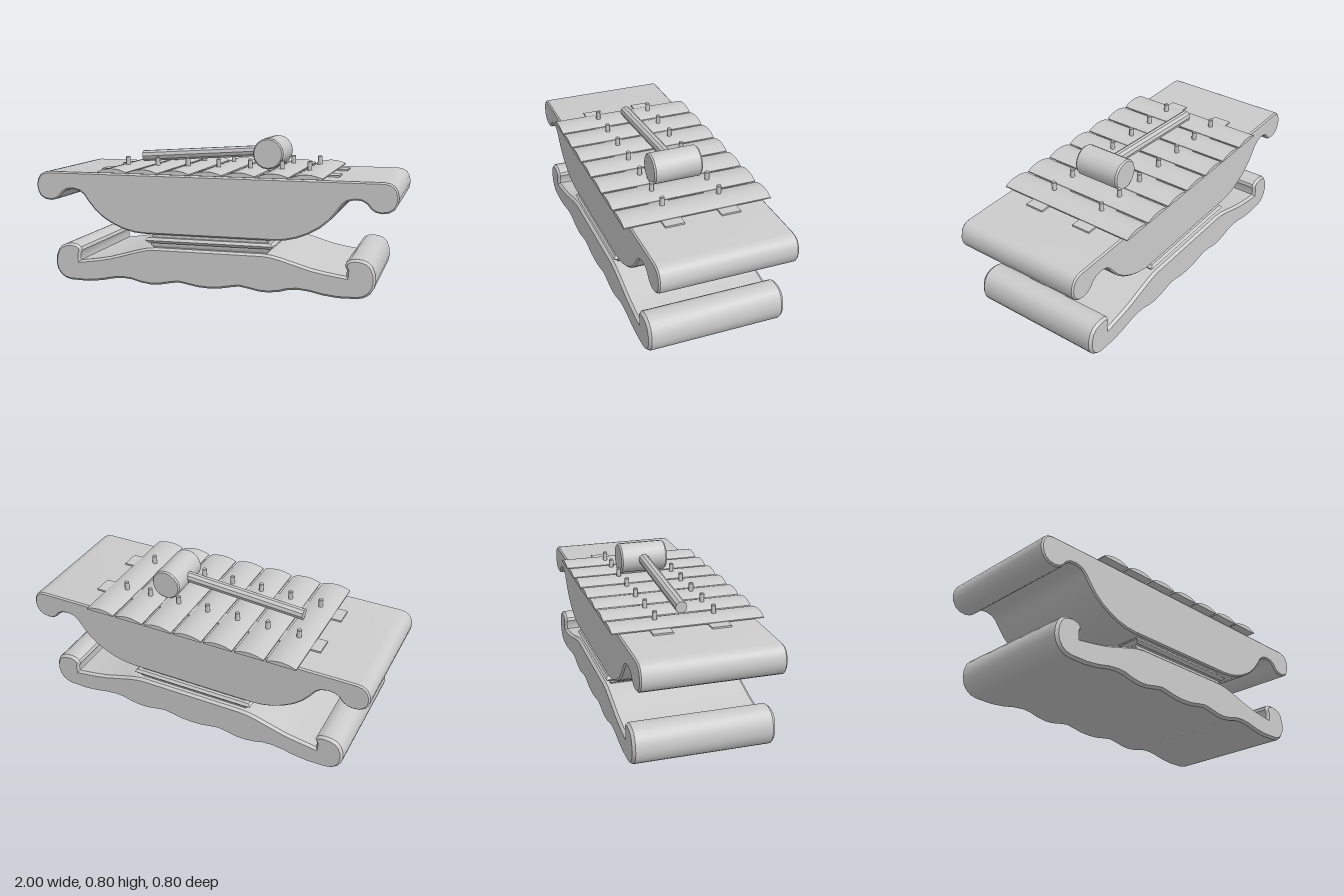
import * as THREE from 'three';
import { toCreasedNormals } from 'three/addons/utils/BufferGeometryUtils.js';

const material = new THREE.MeshStandardMaterial({ color: 0xcccccc });

function addMesh(parent, name, geometry, x = 0, y = 0, z = 0) {
  const mesh = new THREE.Mesh(toCreasedNormals(geometry, 0.6), material);
  mesh.name = name;
  mesh.position.set(x, y, z);
  parent.add(mesh);
  return mesh;
}

// Extrudes an outline along z, centred, with chamfered ends inside the outline
function extrudeCentred(points, halfDepth, bevel, bevelDepth = bevel) {
  const shape = new THREE.Shape(points.map(([x, y]) => new THREE.Vector2(x, y)));
  const depth = 2 * (halfDepth - bevelDepth);
  const geometry = new THREE.ExtrudeGeometry(shape, {
    depth, bevelEnabled: bevel > 0, bevelSize: bevel, bevelOffset: -bevel,
    bevelThickness: bevelDepth, bevelSegments: 1,
  });
  return geometry.translate(0, 0, -depth / 2);
}

// Completes a right-hand profile running from bottom centre to top centre
function mirrored(half) {
  const left = half.slice(1, -1).reverse().map(([x, y]) => [-x, y]);
  return [...half, ...left];
}

// Rectangular plinth from stacked rings [halfX, halfZ, y]
function plinth(rings) {
  const positions = [];
  const corner = ([w, d, y], i) => [[w, y, d], [w, y, -d], [-w, y, -d], [-w, y, d]][i % 4];
  for (let r = 0; r < rings.length - 1; r++) {
    for (let i = 0; i < 4; i++) {
      const a = corner(rings[r], i), b = corner(rings[r], i + 1);
      const c = corner(rings[r + 1], i + 1), d = corner(rings[r + 1], i);
      positions.push(...a, ...b, ...c, ...a, ...c, ...d);
    }
  }
  const geometry = new THREE.BufferGeometry();
  geometry.setAttribute('position', new THREE.Float32BufferAttribute(positions, 3));
  geometry.computeVertexNormals();
  return geometry;
}

export function createModel() {
  const model = new THREE.Group();
  model.name = 'xylophone';

  // Base with curled ends and a scalloped underside
  const base = mirrored([
    [0, 0.008], [0.06, 0.011], [0.12, 0.022], [0.17, 0.03], [0.22, 0.022], [0.28, 0.01],
    [0.33, 0.008], [0.39, 0.016], [0.44, 0.03], [0.49, 0.034], [0.55, 0.028], [0.62, 0.013],
    [0.7, 0.004], [0.8, 0.006], [0.835, 0.014], [0.865, 0.034], [0.885, 0.065], [0.893, 0.1],
    [0.89, 0.14], [0.876, 0.178], [0.855, 0.2], [0.825, 0.212], [0.79, 0.215], [0.76, 0.21],
    [0.74, 0.196], [0.734, 0.178], [0.744, 0.155], [0.742, 0.122], [0.64, 0.137],
    [0.56, 0.152], [0.48, 0.175], [0.4, 0.198], [0.35, 0.21], [0.3, 0.215], [0, 0.215],
  ]);
  addMesh(model, 'base', extrudeCentred(base, 0.375, 0.012, 0.015));

  // Stepped pedestal with a pointed collar
  addMesh(model, 'pedestal', plinth([
    [0.315, 0.338, 0.205], [0.32, 0.34, 0.218], [0.332, 0.344, 0.226], [0.332, 0.344, 0.238],
    [0.34, 0.358, 0.24], [0.356, 0.371, 0.255], [0.342, 0.36, 0.27],
    [0.322, 0.342, 0.27], [0.322, 0.342, 0.295],
  ]));

  // Bowl-shaped sound box with overhanging curled ends
  const body = mirrored([
    [0, 0.288], [0.36, 0.288], [0.42, 0.293], [0.48, 0.307], [0.54, 0.331], [0.6, 0.365],
    [0.65, 0.407], [0.69, 0.455], [0.715, 0.49], [0.74, 0.51], [0.78, 0.519], [0.815, 0.515],
    [0.84, 0.5], [0.862, 0.473], [0.885, 0.459], [0.915, 0.453], [0.95, 0.458], [0.978, 0.475],
    [0.994, 0.502], [1, 0.535], [0.993, 0.57], [0.978, 0.595], [0.955, 0.609], [0.925, 0.614],
    [0, 0.614],
  ]);
  addMesh(model, 'soundBox', extrudeCentred(body, 0.367, 0.008));

  // Flat rails carrying the bars
  for (const side of [-1, 1]) {
    addMesh(model, 'rail', new THREE.BoxGeometry(1.345, 0.012, 0.105), 0, 0.617, side * 0.153);
  }

  // Seven bars with arched tops, each held by two pegs
  const arch = [[-0.083, 0.62], [0.083, 0.62]];
  for (let i = 0; i <= 10; i++) {
    const t = 1 - i / 5;
    arch.push([0.083 * t, 0.626 + 0.018 * (1 - t * t)]);
  }
  const barGeometry = extrudeCentred(arch, 0.402, 0);
  const pegX = [-0.532, -0.355, -0.178, 0, 0.178, 0.355, 0.506];
  pegX.forEach((x, i) => {
    addMesh(model, 'bar', barGeometry, (i - 3) * 0.178);
    for (const side of [-1, 1]) {
      const peg = new THREE.LatheGeometry([
        [0.013, 0.62], [0.013, 0.686], [0.01, 0.69], [0, 0.69],
      ].map(([r, y]) => new THREE.Vector2(r, y)), 12);
      addMesh(model, 'peg', peg, x, 0, side * 0.157);
    }
  });

  // Mallet resting on the bars
  const mallet = new THREE.Group();
  mallet.name = 'mallet';
  model.add(mallet);
  const headProfile = [[0, -0.136], [0.078, -0.136], [0.085, -0.127], [0.085, 0.127], [0.078, 0.136], [0, 0.136]];
  const head = addMesh(mallet, 'malletHead',
    new THREE.LatheGeometry(headProfile.map(([r, y]) => new THREE.Vector2(r, y)), 16), 0.27, 0.72, 0);
  head.rotation.x = Math.PI / 2;

  const start = new THREE.Vector3(-0.498, 0.678, -0.004);
  const end = new THREE.Vector3(0.23, 0.727, -0.004);
  const axis = end.clone().sub(start);
  const handle = addMesh(mallet, 'malletHandle', new THREE.CylinderGeometry(0.031, 0.032, axis.length(), 10));
  handle.position.copy(start).add(end).multiplyScalar(0.5);
  handle.quaternion.setFromUnitVectors(new THREE.Vector3(0, 1, 0), axis.normalize());

  return model;
}
